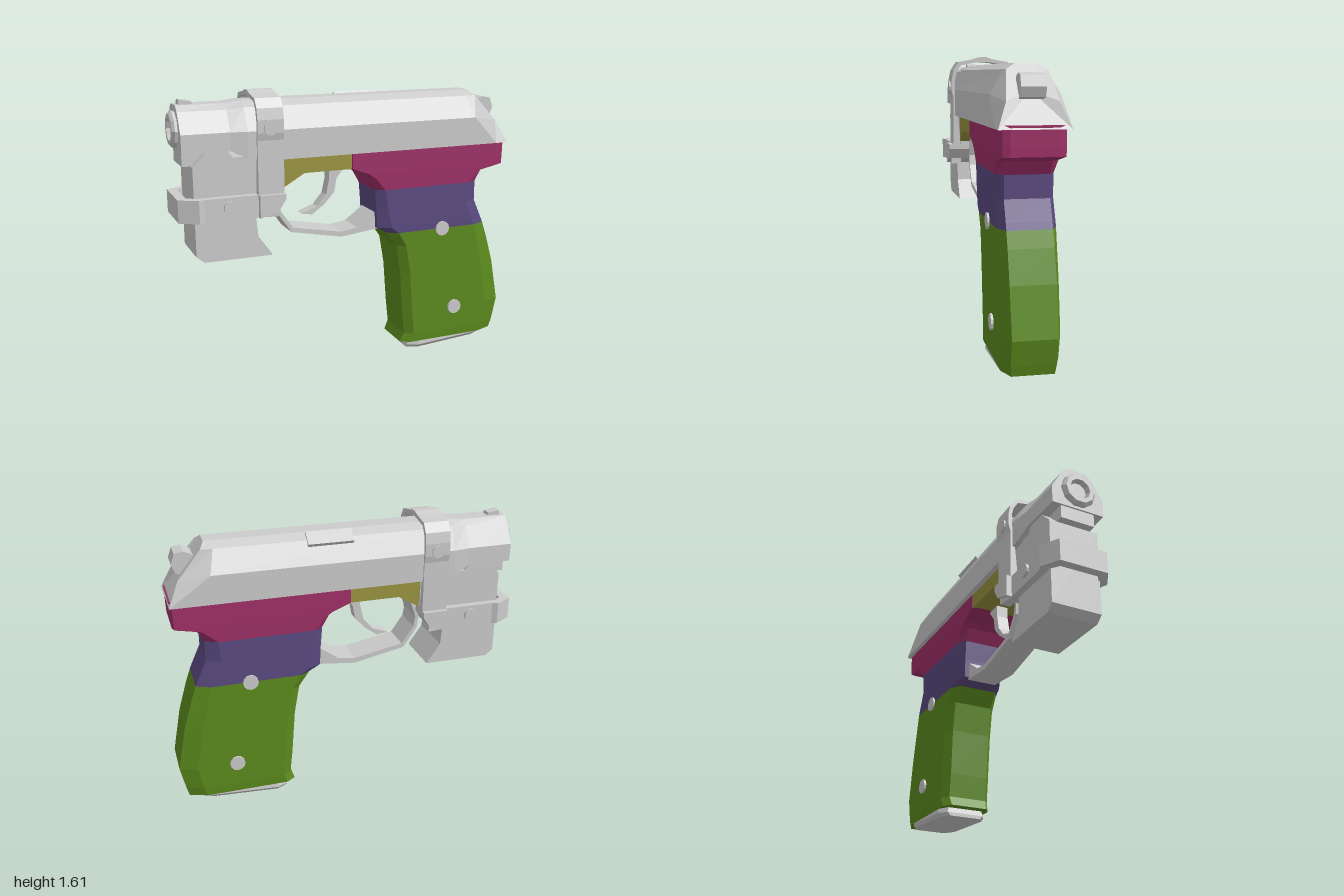
import * as THREE from 'three';

const mat = (color) => new THREE.MeshStandardMaterial({ color, flatShading: true });
const grey = mat(0xcccccc);
const olive = mat(0x5c8c1e), violet = mat(0x5a4a80), magenta = mat(0xa03068), amber = mat(0x9a9440);

// Skin a list of equal-length rings of [x, y, z], with capped ends, facing outward
function loft(rings) {
  const n = rings[0].length, tris = [];
  for (let r = 0; r < rings.length - 1; r++) {
    for (let i = 0; i < n; i++) {
      const j = (i + 1) % n, a = rings[r], b = rings[r + 1];
      tris.push([a[i], a[j], b[j]], [a[i], b[j], b[i]]);
    }
  }
  const cap = (ring, flip) => {
    const c = [0, 1, 2].map((k) => ring.reduce((s, p) => s + p[k], 0) / n);
    ring.forEach((p, i) => {
      const q = ring[(i + 1) % n];
      tris.push(flip ? [c, q, p] : [c, p, q]);
    });
  };
  cap(rings[0], true);
  cap(rings[rings.length - 1], false);
  const v = (p) => new THREE.Vector3(...p);
  const volume = tris.reduce((s, [a, b, c]) => s + v(a).dot(v(b).cross(v(c))), 0);
  if (volume < 0) tris.forEach((t) => t.reverse());
  const geo = new THREE.BufferGeometry();
  geo.setAttribute('position', new THREE.Float32BufferAttribute(tris.flat(2), 3));
  geo.computeVertexNormals();
  return geo;
}

// Extrude a 2D outline, centred on its depth
function slab(points, depth) {
  const shape = new THREE.Shape(points.map((p) => new THREE.Vector2(...p)));
  return new THREE.ExtrudeGeometry(shape, { depth, bevelEnabled: false }).translate(0, 0, -depth / 2);
}

// Half outlines joined with their mirror into a closed band
function band(outer, inner, axis) {
  const flip = (p) => (axis === 0 ? [-p[0], p[1]] : [p[0], -p[1]]);
  return [...outer, ...outer.map(flip).reverse(), ...inner.map(flip), ...[...inner].reverse()];
}

export function createModel() {
  const model = new THREE.Group();
  const add = (name, geo, material = grey) => {
    const mesh = new THREE.Mesh(geo, material);
    mesh.name = name;
    model.add(mesh);
    return mesh;
  };

  // Slide: half section of (z, y, x) mirrored into a ring
  const ring = (half) => [...half, ...[...half].reverse().map(([z, y, x]) => [-z, y, x])]
    .map(([z, y, x]) => [x, y, z]);
  const section = (x, hw, bottom, top) => ring([
    [hw, bottom, x], [hw, 1.41, x], [hw - 0.065, top - 0.03, x], [0.055, top, x],
  ]);
  add('slide', loft([
    section(-0.97, 0.155, 1.31, 1.55),
    section(-0.71, 0.16, 1.31, 1.55),
    section(-0.62, 0.175, 1.265, 1.56),
    section(-0.43, 0.18, 1.25, 1.56),
    ring([[0.18, 1.25, 0.9], [0.18, 1.41, 0.75], [0.11, 1.53, 0.72], [0.055, 1.56, 0.72]]),
    ring([[0.18, 1.25, 0.975], [0.13, 1.38, 0.915], [0.105, 1.53, 0.785], [0.055, 1.56, 0.76]]),
  ]));
  add('dustCover', slab([[-0.96, 1.33], [-0.96, 1.235], [-0.9, 1.235], [-0.87, 1.28], [-0.74, 1.33]], 0.2));

  // Muzzle ring with a recessed bore
  const muzzle = new THREE.LatheGeometry(
    [[0, 0.0], [0.05, 0.0], [0.06, 0.035], [0.085, 0.035], [0.1, 0.02], [0.1, -0.06]]
      .reverse().map((p) => new THREE.Vector2(...p)), 10);
  add('muzzle', muzzle.rotateZ(Math.PI / 2).translate(-0.965, 1.42, 0));

  // Sights and ejection port
  add('frontSight', slab([[-0.95, 1.54], [-0.945, 1.575], [-0.88, 1.565], [-0.87, 1.54]], 0.06));
  add('hammer', slab([[0.8, 1.47], [0.83, 1.5], [0.87, 1.515], [0.915, 1.505],
    [0.935, 1.45], [0.915, 1.4], [0.86, 1.38]], 0.125));
  const port = add('ejectionPort', new THREE.BoxGeometry(0.255, 0.035, 0.085));
  port.position.set(0.09, 1.527, -0.1);
  port.rotation.x = -0.66;

  // Frame and grip: rows of [y, front x, back x, half width, front chamfer, back chamfer]
  const row = ([y, f, b, w, cf, cb]) => {
    const e = w - 0.035;
    return [[f, y, e], [f + cf, y, w], [b - cb, y, w], [b, y, e],
      [b, y, -e], [b - cb, y, -w], [f + cf, y, -w], [f, y, -e]];
  };
  const rows = [
    [0.05, 0.32, 0.95, 0.145, 0.05, 0.1],
    [0.105, 0.345, 0.965, 0.15, 0.05, 0.1],
    [0.24, 0.33, 0.995, 0.15, 0.05, 0.1],
    [0.5, 0.31, 0.945, 0.152, 0.05, 0.1],
    [0.67, 0.28, 0.895, 0.152, 0.05, 0.09],
    [0.755, 0.22, 0.865, 0.152, 0.06, 0.08],
    [0.79, 0.155, 0.85, 0.152, 0.08, 0.08],
    [0.9, 0.15, 0.8, 0.152, 0.06, 0.08],
    [1.02, 0.14, 0.8, 0.152, 0.05, 0.07],
    [1.09, 0.1, 0.84, 0.154, 0.03, 0.03],
    [1.12, 0.07, 0.965, 0.155, 0.02, 0.01],
    [1.16, -0.035, 0.967, 0.155, 0.02, 0.01],
    [1.27, -0.035, 0.97, 0.155, 0.02, 0.01],
  ].map(row);
  add('grip', loft(rows.slice(0, 6)), olive);
  add('gripNeck', loft(rows.slice(5, 9)), violet);
  add('rearFrame', loft(rows.slice(8)), magenta);
  add('frontFrame', slab([[-0.43, 1.27], [-0.42, 1.09], [-0.3, 1.16], [0, 1.16], [0, 1.27]], 0.3), amber);

  // Magazine base, tilted along its length
  const base = loft([
    row([0.0, 0.37, 0.89, 0.13, 0.06, 0.08]),
    row([0.02, 0.37, 0.9, 0.145, 0.06, 0.08]),
    row([0.06, 0.38, 0.9, 0.14, 0.06, 0.08]),
  ]);
  const pos = base.attributes.position;
  for (let i = 0; i < pos.count; i++) pos.setY(i, pos.getY(i) + (pos.getX(i) - 0.37) * 0.06);
  base.computeVertexNormals();
  add('magazineBase', base);

  // Trigger guard and trigger
  add('triggerGuard', slab([
    [-0.42, 1.12], [-0.45, 1.0], [-0.44, 0.93], [-0.36, 0.815], [-0.06, 0.755], [0.17, 0.78],
    [0.17, 0.89], [0.15, 0.88], [0.04, 0.8], [-0.06, 0.785], [-0.35, 0.84],
    [-0.42, 0.94], [-0.43, 1.0], [-0.395, 1.1], [-0.3, 1.165],
  ], 0.18));
  add('trigger', slab([
    [0.0, 1.17], [-0.065, 1.09], [-0.08, 1.01], [-0.14, 0.945], [-0.215, 0.89], [-0.28, 0.9],
    [-0.185, 0.935], [-0.13, 1.0], [-0.11, 1.09], [-0.11, 1.17],
  ], 0.07));

  // Light module under the barrel
  add('lightBody', slab([
    [-0.915, 1.235], [-0.915, 0.75], [-0.87, 0.715], [-0.49, 0.715], [-0.57, 0.83], [-0.58, 0.94],
    [-0.47, 0.98], [-0.43, 1.04], [-0.43, 1.27], [-0.7, 1.275], [-0.73, 1.32], [-0.83, 1.32],
  ], 0.29));

  // U-shaped bracket around the light
  const bracket = slab(band(
    [[-0.47, 0.2], [-0.55, 0.185], [-0.87, 0.185], [-0.9, 0.2], [-1.0, 0.14]],
    [[-0.47, 0.14], [-0.55, 0.14], [-0.87, 0.14], [-0.9, 0.15], [-0.95, 0.11]], 1), 0.125);
  add('lightBracket', bracket.rotateX(-Math.PI / 2).translate(0, 1.0075, 0));

  // Strap arching over the slide
  const strap = slab(band(
    [[0.19, 1.05], [0.19, 1.36], [0.2, 1.4], [0.2, 1.47], [0.188, 1.53], [0.155, 1.58], [0.06, 1.597], [0.02, 1.61]],
    [[0.145, 1.05], [0.17, 1.36], [0.18, 1.4], [0.18, 1.465], [0.168, 1.515], [0.14, 1.56], [0.06, 1.575], [0.02, 1.58]], 0), 0.145);
  add('strap', strap.rotateY(Math.PI / 2).translate(-0.5025, 0, 0));

  // Paired clamp plates and screws
  for (const side of [1, -1]) {
    add('clampPlate', slab([[-0.575, 1.07], [-0.575, 0.945], [-0.47, 0.98], [-0.43, 1.04], [-0.43, 1.07]], 0.075)
      .translate(0, 0, side * 0.178));
    for (const [name, x, y, z, r] of [
      ['strapScrew', -0.505, 1.425, 0.195, 0.037], ['bracketScrew', -0.73, 1.015, 0.185, 0.037],
      ['gripScrew', 0.565, 0.755, 0.148, 0.044], ['gripScrew', 0.665, 0.245, 0.148, 0.044],
    ]) {
      add(name, new THREE.CylinderGeometry(r, r, 0.03, 12).rotateX(Math.PI / 2).translate(x, y, side * z));
    }
  }
  return model;
}
